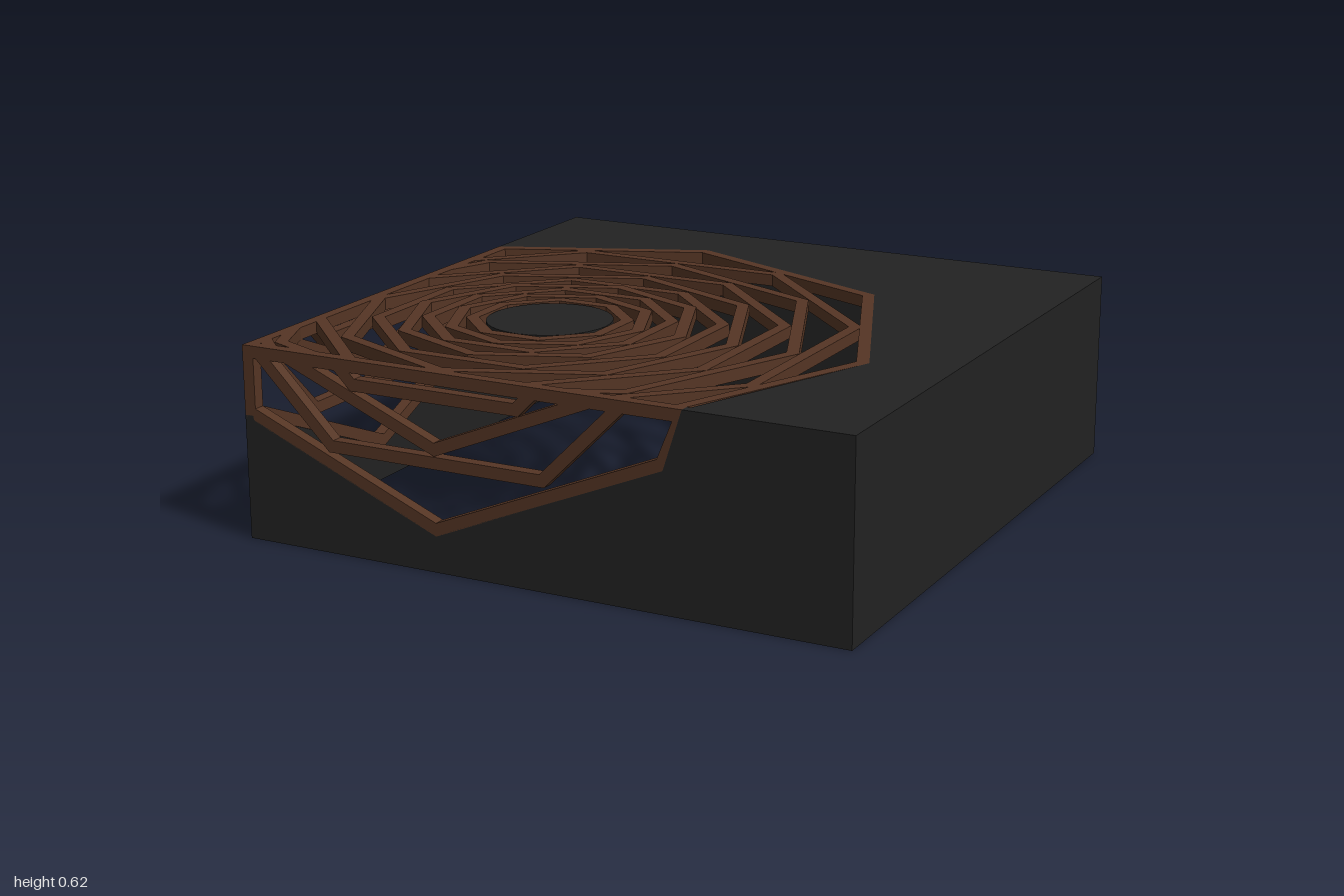
import * as THREE from 'three';
import { mergeGeometries } from 'three/addons/utils/BufferGeometryUtils.js';

const H = 0.61;        // top of the shell
const WALL = 0.03;     // shell thickness
const BAR = 0.038;     // width and depth of the lattice bars
const CX = -0.33;      // lattice centre, mirrored as z = 0.33
const RADII = [1.075, 0.963, 0.85, 0.747, 0.65, 0.557, 0.475, 0.4, 0.33, 0.262];

// Keep the part of a convex polygon where sign * p[axis] <= sign * limit
function clip(points, axis, limit, sign) {
  const out = [];
  points.forEach((a, i) => {
    const b = points[(i + 1) % points.length];
    const da = sign * (a[axis] - limit), db = sign * (b[axis] - limit);
    if (da <= 0) out.push(a);
    if (da * db < 0) {
      const t = da / (da - db);
      out.push([a[0] + (b[0] - a[0]) * t, a[1] + (b[1] - a[1]) * t]);
    }
  });
  return out;
}

function extrude(points, depth) {
  const shape = new THREE.Shape(points.map(([x, y]) => new THREE.Vector2(x, y)));
  return new THREE.ExtrudeGeometry(shape, { depth, bevelEnabled: false });
}

// Octagonal ring of eight mitred bars, trimmed to the rectangle [x0, x1, y0, y1]
function ringGeometry(index, cx, cy, [x0, x1, y0, y1]) {
  const outer = RADII[index], inner = outer - BAR / Math.cos(Math.PI / 8);
  const turn = index % 2 ? Math.PI / 8 : 0;
  const at = (r, i) => {
    const a = turn + (i * Math.PI) / 4;
    return [cx + r * Math.cos(a), cy + r * Math.sin(a)];
  };
  const bars = [];
  for (let i = 0; i < 8; i++) {
    let p = [at(outer, i), at(outer, i + 1), at(inner, i + 1), at(inner, i)];
    p = clip(clip(p, 0, x0, -1), 0, x1, 1);
    p = clip(clip(p, 1, y0, -1), 1, y1, 1);
    if (p.length > 2) bars.push(extrude(p, BAR));
  }
  return bars.length ? mergeGeometries(bars) : null;
}

export function createModel() {
  const group = new THREE.Group();
  const black = new THREE.MeshStandardMaterial({ color: 0x222222 });
  black.name = 'black shell';
  const brown = new THREE.MeshStandardMaterial({ color: 0x553524 });
  brown.name = 'brown lattice';

  const add = (name, geometry, material) => {
    const mesh = new THREE.Mesh(geometry, material);
    mesh.name = name;
    group.add(mesh);
    return mesh;
  };
  const box = (name, material, x0, x1, y0, y1, z0, z1) =>
    add(name, new THREE.BoxGeometry(x1 - x0, y1 - y0, z1 - z0), material)
      .position.set((x0 + x1) / 2, (y0 + y1) / 2, (z0 + z1) / 2);

  // Placing flat pieces so that their outer face is flush with the shell
  const onTop = (g, depth, y = H) => g.rotateX(-Math.PI / 2).translate(0, y - depth, 0);
  const onFront = (g, depth) => g.translate(0, 0, 1 - depth);
  const onSide = (g, depth) => onFront(g, depth).rotateY(-Math.PI / 2);

  // Shell, open underneath, with the lattice opening cut from one corner
  const topPlate = [[-1, 1], [1, 1], [1, -1], [0.48, -1], [0.745, -0.33],
    [0.43, 0.43], [CX, 0.745], [-1, 0.467]];
  add('topPlate', onTop(extrude(topPlate, WALL), WALL), black);
  const cutWall = [[-1, 0], [1, 0], [1, H], [0.48, H], [0.42, 0.425], [CX, 0.115], [-1, 0.392]];
  const mirrored = cutWall.map(([x, y]) => [-x, y]);
  add('frontWall', onFront(extrude(cutWall, WALL), WALL), black);
  add('rightWall', onSide(extrude(mirrored, WALL), WALL), black);
  box('backWall', black, -1, 1, 0, H, -1, -1 + WALL);
  box('leftWall', black, 1 - WALL, 1, 0, H, -1, 1);

  // Lattice rings on the top and, where they run over the edge, on two walls
  RADII.forEach((r, i) => {
    const lift = r < 0.48 ? 0.006 : 0;
    add('topRing' + i, onTop(ringGeometry(i, CX, CX, [-1, 1, -1, 1]), BAR, H + lift), brown);
    const cy = i === 0 ? 1.187 : 1.207;
    const front = ringGeometry(i, CX, cy, [-1, 0.48, 0, H]);
    const side = ringGeometry(i, -CX, cy, [-0.48, 1, 0, H]);
    if (i < 4 && front) add('frontRing' + i, onFront(front, BAR), brown);
    if (i < 4 && side) add('sideRing' + i, onSide(side, BAR), brown);
  });

  // Bars along the open corner edges
  box('frontEdgeBar', brown, -1, 0.47, H - BAR, H, 1 - BAR, 1);
  box('sideEdgeBar', brown, -1, -1 + BAR, H - BAR, H, -0.47, 1);
  box('cornerPost', brown, -1, -1 + BAR, 0.392, H, 1 - BAR, 1);

  // Round centre cap
  const cap = add('centreCap', new THREE.CylinderGeometry(0.197, 0.197, BAR, 32), black);
  cap.position.set(CX, H + 0.004 - BAR / 2, -CX);
  return group;
}
